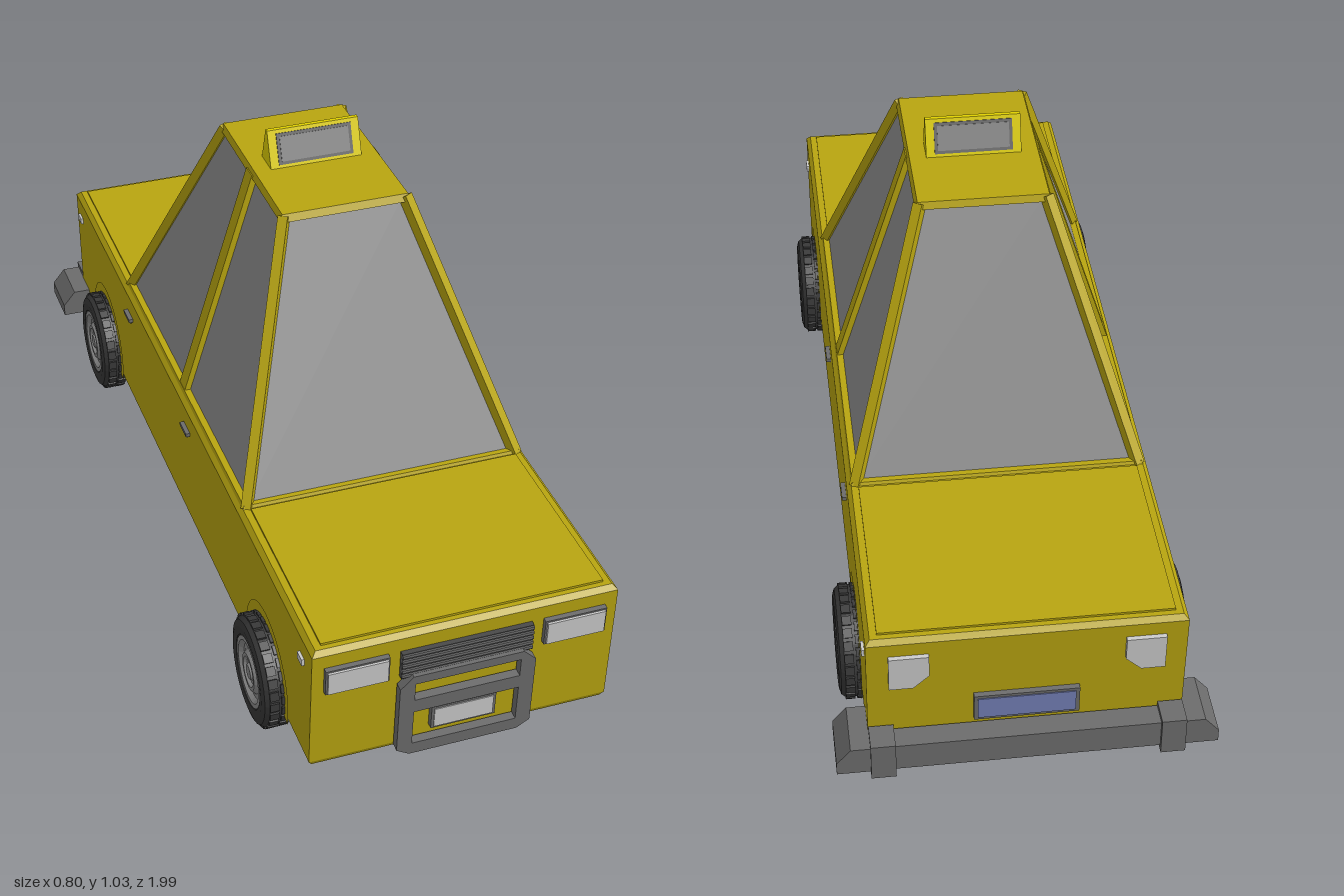
import * as THREE from 'three';

const mat = (color, flat = true) => new THREE.MeshStandardMaterial({ color, flatShading: flat });
const YELLOW = mat(0xb8a510), BRIGHT = mat(0xe0d000), GLASS = mat(0x8c8c8c), STEEL = mat(0x6c6c6c);
const DARK = mat(0x484848), RUBBER = mat(0x383838), RIM = mat(0x8a8a8a), LAMP = mat(0xcccccc), BLUE = mat(0x7480b8);

function add(parent, name, geometry, material, x = 0, y = 0, z = 0) {
  const mesh = new THREE.Mesh(geometry, material);
  mesh.name = name;
  mesh.position.set(x, y, z);
  parent.add(mesh);
  return mesh;
}

const box = (w, h, d) => new THREE.BoxGeometry(w, h, d);

// Stacked rectangles [y, halfWidth, frontZ, rearZ] joined into a closed solid
function loft(rings) {
  const pos = [], idx = [], n = rings.length;
  rings.forEach(([y, x, f, r]) => pos.push(x, y, f, x, y, r, -x, y, r, -x, y, f));
  for (let k = 0; k < n - 1; k++) for (let i = 0; i < 4; i++) {
    const a = k * 4 + i, b = k * 4 + (i + 1) % 4;
    idx.push(a, b, b + 4, a, b + 4, a + 4);
  }
  const t = (n - 1) * 4;
  idx.push(0, 2, 1, 0, 3, 2, t, t + 1, t + 2, t, t + 2, t + 3);
  const g = new THREE.BufferGeometry();
  g.setAttribute('position', new THREE.Float32BufferAttribute(pos, 3));
  g.setIndex(idx);
  const flat = g.toNonIndexed();
  flat.computeVertexNormals();
  return flat;
}

// Straight bar between two points
function beam(parent, name, p, q, w, h, material) {
  const a = new THREE.Vector3(...p), b = new THREE.Vector3(...q);
  const m = add(parent, name, box(w, h, a.distanceTo(b)), material);
  m.position.copy(a).add(b).multiplyScalar(0.5);
  m.lookAt(b);
}

const outline = pts => pts.map(p => new THREE.Vector2(...p));
const rect = (x, y0, y1) => outline([[-x, y0], [x, y0], [x, y1], [-x, y1]]);

function plate(pts, holes, depth) {
  const s = new THREE.Shape(outline(pts));
  holes.forEach(h => s.holes.push(new THREE.Path(h)));
  return new THREE.ExtrudeGeometry(s, { depth, bevelEnabled: false });
}

// Wheel with its axle along local y, outer side up
function makeWheel() {
  const wheel = new THREE.Group();
  const tyre = outline([[0, 0], [0.1, 0], [0.115, 0.006], [0.121, 0.014], [0.121, 0.06],
    [0.114, 0.069], [0.1, 0.073], [0.082, 0.071], [0.078, 0.06], [0, 0.06]]);
  add(wheel, 'tyre', new THREE.LatheGeometry(tyre, 36), RUBBER);
  const rim = outline([[0.08, 0.058], [0.08, 0.07], [0.07, 0.07], [0.062, 0.06], [0.05, 0.062],
    [0.042, 0.07], [0.034, 0.07], [0.03, 0.063], [0.02, 0.063], [0.016, 0.07], [0, 0.07]]);
  add(wheel, 'rim', new THREE.LatheGeometry(rim, 28), RIM);
  // Two staggered rows of tread blocks
  for (let i = 0; i < 56; i++) {
    const a = i * Math.PI / 28;
    const b = add(wheel, 'tread', box(0.008, 0.02, 0.02), RUBBER,
      Math.cos(a) * 0.121, i % 2 ? 0.025 : 0.05, Math.sin(a) * 0.121);
    b.rotation.y = -a;
  }
  return wheel;
}

export function createModel() {
  const car = new THREE.Group();
  car.name = 'taxi';

  // Body, bonnet and boot lid
  add(car, 'body', loft([[0.085, 0.322, 0.95, -0.925], [0.098, 0.33, 0.957, -0.93],
    [0.393, 0.33, 0.977, -0.947], [0.404, 0.32, 0.967, -0.937]]), YELLOW);
  add(car, 'bonnet', box(0.61, 0.01, 0.455), YELLOW, 0, 0.404, 0.728);
  add(car, 'bootLid', box(0.61, 0.01, 0.45), YELLOW, 0, 0.404, -0.7);

  // Cabin
  add(car, 'windows', loft([[0.4, 0.307, 0.483, -0.455], [0.943, 0.134, 0.22, -0.19]]), GLASS);
  add(car, 'sill', loft([[0.4, 0.322, 0.495, -0.468], [0.411, 0.318, 0.49, -0.463]]), YELLOW);
  add(car, 'roof', loft([[0.936, 0.148, 0.237, -0.206], [0.952, 0.142, 0.229, -0.2]]), YELLOW);
  for (const s of [1, -1]) {
    beam(car, 'frontPillar', [s * 0.31, 0.4, 0.486], [s * 0.137, 0.945, 0.224], 0.022, 0.022, YELLOW);
    beam(car, 'rearPillar', [s * 0.31, 0.4, -0.458], [s * 0.137, 0.945, -0.194], 0.022, 0.022, YELLOW);
    beam(car, 'middlePillar', [s * 0.309, 0.4, 0.015], [s * 0.138, 0.94, 0.015], 0.04, 0.022, YELLOW);
  }

  // Roof sign: triangular prism with a blank panel on each face
  const sign = new THREE.Group();
  sign.name = 'roofSign';
  const prism = plate([[-0.033, 0], [0.033, 0], [0.005, 0.082], [-0.005, 0.082]], [], 0.21);
  prism.translate(0, 0, -0.105).rotateY(Math.PI / 2);
  add(sign, 'signCase', prism, BRIGHT);
  for (const s of [1, -1]) {
    const frame = add(sign, 'signFrame', box(0.172, 0.07, 0.004), STEEL, 0, 0.041, s * 0.0195);
    frame.rotation.x = -s * 0.329;
    add(frame, 'signPanel', box(0.158, 0.056, 0.003), RIM, 0, 0, s * 0.002);
  }
  sign.position.set(0, 0.951, 0.005);
  car.add(sign);

  // Front fittings, leaning with the nose
  const nose = new THREE.Group();
  nose.name = 'nose';
  nose.position.z = 0.95;
  nose.rotation.x = 0.07;
  car.add(nose);
  add(nose, 'grille', box(0.285, 0.068, 0.014), DARK, 0, 0.326, 0.004);
  for (let i = 0; i < 5; i++) add(nose, 'grilleSlat', box(0.285, 0.007, 0.01), STEEL, 0, 0.301 + i * 0.0135, 0.01);
  const bar = plate([[-0.12, 0.08], [0.12, 0.08], [0.148, 0.098], [0.148, 0.275], [0.12, 0.304],
    [-0.12, 0.304], [-0.148, 0.275], [-0.148, 0.098]],
  [rect(0.115, 0.236, 0.282), rect(0.115, 0.11, 0.202)], 0.02);
  add(nose, 'bullBar', bar, STEEL, 0, 0, 0.004);
  add(nose, 'frontPlateFrame', box(0.142, 0.06, 0.016), STEEL, 0, 0.16, 0.006);
  add(nose, 'frontPlate', box(0.13, 0.05, 0.006), LAMP, 0, 0.16, 0.013);
  for (const s of [1, -1]) {
    add(nose, 'headlampFrame', box(0.136, 0.064, 0.016), STEEL, s * 0.236, 0.329, 0.003);
    add(nose, 'headlamp', box(0.128, 0.056, 0.02), LAMP, s * 0.236, 0.329, 0.006);
  }

  // Rear fittings
  const tail = new THREE.Group();
  tail.name = 'tail';
  tail.position.z = -0.925;
  tail.rotation.set(0.05, Math.PI, 0, 'YXZ');
  car.add(tail);
  add(tail, 'rearPlateFrame', box(0.22, 0.07, 0.016), STEEL, 0, 0.195, 0.005);
  add(tail, 'rearPlate', box(0.204, 0.056, 0.006), BLUE, 0, 0.195, 0.012);
  for (const s of [1, -1]) {
    const lamp = [[0.235, 0.272], [0.285, 0.272], [0.285, 0.36], [0.202, 0.36], [0.202, 0.305]];
    const pts = lamp.map(([x, y]) => [s * x, y]);
    add(tail, 'tailLamp', plate(pts, [], 0.012), LAMP);
  }

  // Rear bumper with wrapped, sloping ends
  const bumper = new THREE.Group();
  bumper.name = 'rearBumper';
  add(bumper, 'bumperBar', box(0.68, 0.066, 0.05), STEEL, 0, 0.111, -0.962);
  for (const s of [1, -1]) {
    const end = plate([[0.325, 0.078], [0.4, 0.078], [0.4, 0.108], [0.37, 0.144], [0.325, 0.144]]
      .map(([x, y]) => [s * x, y]), [], 0.122);
    add(bumper, 'bumperEnd', end, STEEL, 0, 0, -0.988);
    add(bumper, 'overrider', box(0.052, 0.09, 0.06), STEEL, s * 0.303, 0.11, -0.966);
  }
  car.add(bumper);

  // Side details and wheels, mirrored
  for (const s of [1, -1]) {
    for (const z of [0.09, -0.41]) {
      add(car, 'doorHandle', box(0.012, 0.009, 0.05), STEEL, s * 0.334, 0.343, z);
      add(car, 'handleCup', box(0.006, 0.016, 0.026), DARK, s * 0.331, 0.337, z);
    }
    for (const z of [0.915, -0.9]) add(car, 'sideMarker', box(0.01, 0.016, 0.028), LAMP, s * 0.331, 0.345, z);
    for (const z of [0.685, -0.65]) {
      const arch = add(car, 'wheelArch', new THREE.RingGeometry(0.12, 0.146, 32, 1, -0.3, Math.PI + 0.6),
        YELLOW, s * 0.3325, 0.128, z);
      arch.rotation.y = s * Math.PI / 2;
      const wheel = makeWheel();
      wheel.name = 'wheel';
      wheel.position.set(s * 0.304, 0.125, z);
      wheel.rotation.z = -s * Math.PI / 2;
      car.add(wheel);
    }
  }
  return car;
}
